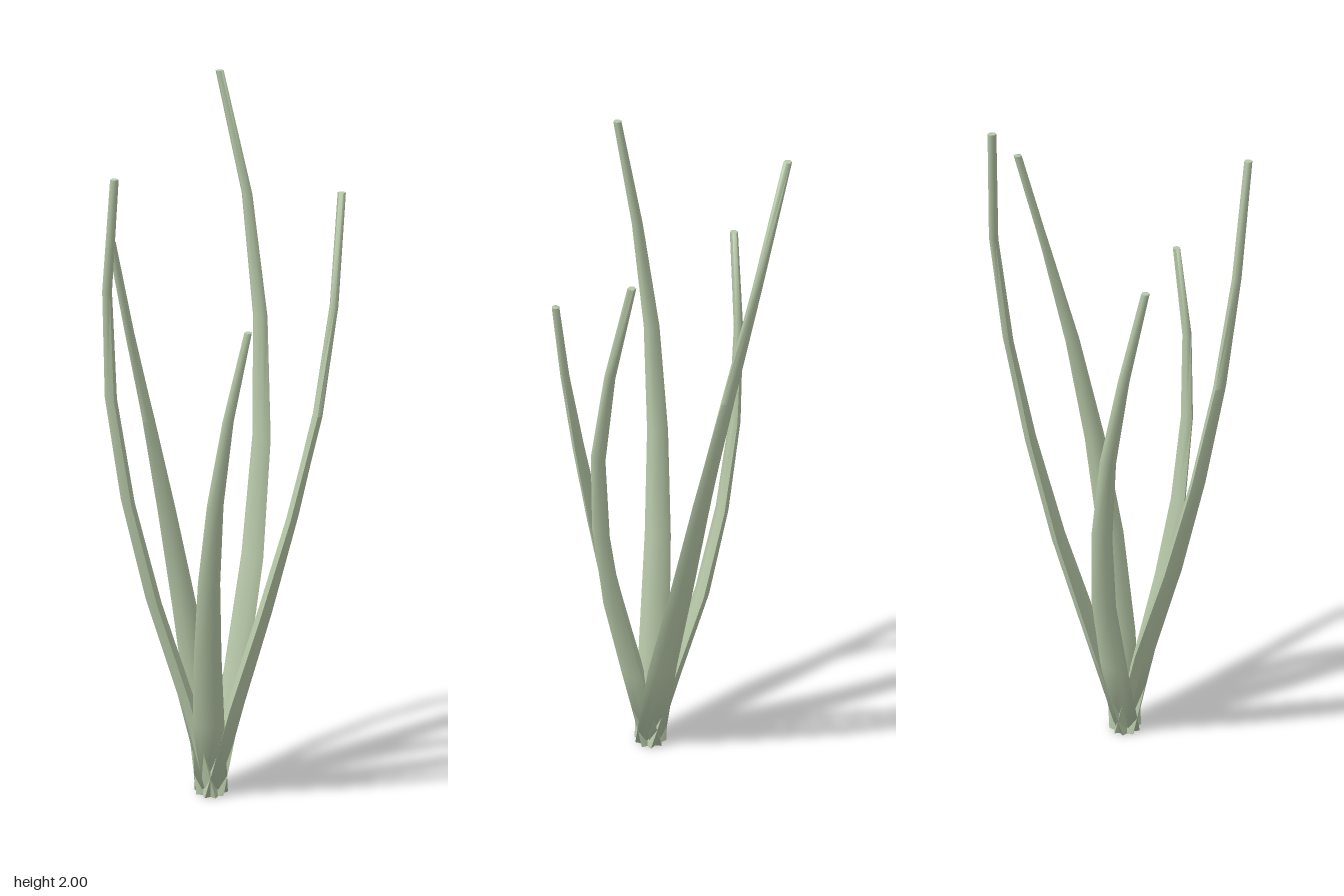
import * as THREE from 'three';
import { toCreasedNormals } from 'three/addons/utils/BufferGeometryUtils.js';

const SEGMENTS = 6;
const ROOT = [-0.013, 0.065];

// half width and half thickness of a blade from root to tip
const WIDTH = [0.048, 0.045, 0.038, 0.03, 0.022, 0.015, 0.011];
const THICK = [0.024, 0.022, 0.02, 0.017, 0.015, 0.012, 0.011];

// each blade: height and the [x, z] of its centre line at even steps of height
const BLADES = [
  { name: 'backBlade', height: 2.0, path: [[0.037, -0.02], [0.065, -0.11], [0.073, -0.185], [0.053, -0.25], [0.003, -0.3], [-0.08, -0.325]] },
  { name: 'leftBlade', height: 1.74, path: [[0.06, 0.076], [0.14, 0.077], [0.212, 0.055], [0.27, 0.012], [0.297, -0.054], [0.298, -0.13]] },
  { name: 'frontBlade', height: 1.47, path: [[-0.006, 0.125], [0.007, 0.187], [0.023, 0.236], [0.048, 0.268], [0.085, 0.279], [0.134, 0.264]] },
  { name: 'rightFrontBlade', height: 1.87, path: [[-0.077, 0.1], [-0.155, 0.148], [-0.212, 0.193], [-0.242, 0.237], [-0.235, 0.28], [-0.2, 0.318]] },
  { name: 'rightBackBlade', height: 1.6, path: [[-0.06, 0.01], [-0.118, -0.043], [-0.172, -0.069], [-0.222, -0.071], [-0.267, -0.045], [-0.3, 0.0]] },
];

// bend a six-sided column into a flat tapering blade, broad side to the centre
function bladeGeometry({ height, path }) {
  const centres = [ROOT, ...path];
  const geometry = new THREE.CylinderGeometry(1, 1, 1, 6, SEGMENTS, false, Math.PI / 2);
  const position = geometry.attributes.position;
  for (let i = 0; i < position.count; i++) {
    const k = Math.round((position.getY(i) + 0.5) * SEGMENTS);
    const [cx, cz] = centres[k];
    const [ox, oz] = centres[Math.max(k, 1)];
    const out = new THREE.Vector2(ox - ROOT[0], oz - ROOT[1]).normalize();
    const w = position.getX(i) * WIDTH[k];
    const t = position.getZ(i) * THICK[k];
    position.setXYZ(i, cx + out.y * w + out.x * t, (height * k) / SEGMENTS, cz - out.x * w + out.y * t);
  }
  return toCreasedNormals(geometry, 1.4);
}

export function createModel() {
  const plant = new THREE.Group();
  plant.name = 'grassTuft';
  const material = new THREE.MeshStandardMaterial({ color: 0xb7c8a8 });
  for (const blade of BLADES) {
    const mesh = new THREE.Mesh(bladeGeometry(blade), material);
    mesh.name = blade.name;
    plant.add(mesh);
  }
  return plant;
}
